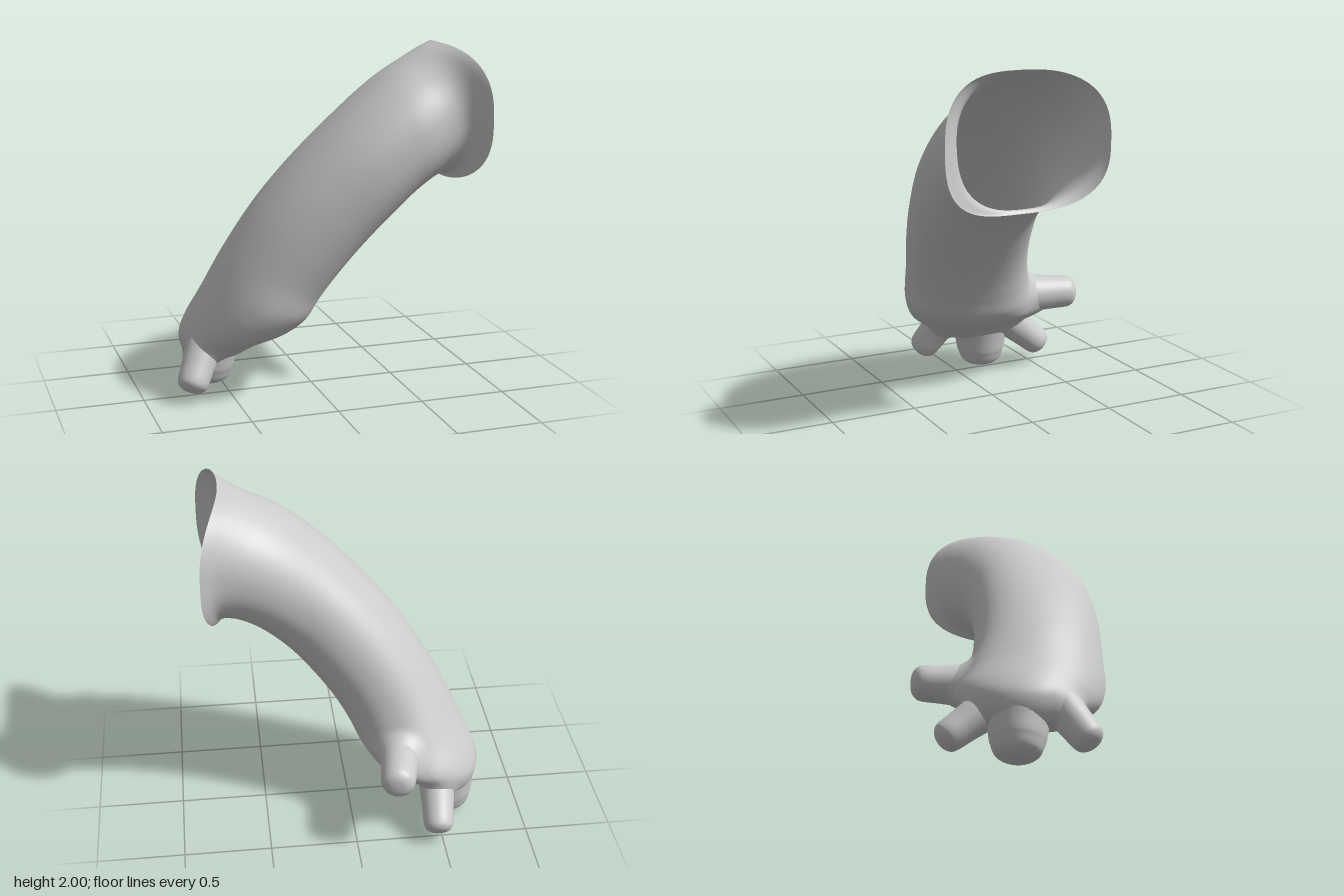
import * as THREE from 'three';

const material = new THREE.MeshStandardMaterial({ color: 0xcccccc, side: THREE.DoubleSide });

// Arm sections from the open cuff to the knuckles:
// [top x, top y, bottom x, bottom y, back z, front z, sideways bulge in x]
const SECTIONS = [
  [0.69, 2.0, 0.70, 1.25, -0.285, 0.67, 0.12],
  [0.57, 1.945, 0.66, 1.265, -0.23, 0.55, 0.08],
  [0.35, 1.82, 0.52, 1.185, -0.21, 0.57, 0.02],
  [0.1, 1.615, 0.35, 1.03, -0.2, 0.56, 0],
  [-0.15, 1.365, 0.2, 0.86, -0.235, 0.515, 0],
  [-0.35, 1.12, 0.08, 0.7, -0.28, 0.465, 0],
  [-0.52, 0.85, 0.0, 0.57, -0.34, 0.415, 0],
  [-0.64, 0.61, -0.06, 0.46, -0.42, 0.385, 0],
  [-0.73, 0.42, -0.14, 0.385, -0.48, 0.31, 0],
  [-0.755, 0.3, -0.29, 0.31, -0.44, 0.18, 0],
  [-0.7, 0.2, -0.4, 0.24, -0.36, 0.06, 0],
  [-0.56, 0.18, -0.56, 0.18, -0.15, -0.15, 0],
];

// Fingers and thumb: root and tip points, radius, height of the fillet
const FINGERS = [
  { name: 'frontFinger', root: [-0.63, 0.33, -0.005], tip: [-0.76, 0.07, 0.135], r: 0.092, fillet: 0.045 },
  { name: 'middleFinger', root: [-0.56, 0.28, -0.195], tip: [-0.58, 0.0, -0.21], r: 0.146, fillet: 0.02 },
  { name: 'backFinger', root: [-0.485, 0.29, -0.35], tip: [-0.465, 0.09, -0.585], r: 0.088, fillet: 0.04 },
  { name: 'thumb', root: [-0.27, 0.51, -0.33], tip: [-0.205, 0.505, -0.67], r: 0.1, fillet: 0.1 },
].map((f) => {
  const root = new THREE.Vector3(...f.root);
  const axis = new THREE.Vector3(...f.tip).sub(root);
  return { ...f, root, length: axis.length(), axis: axis.normalize() };
});

// Draws the skin out along each finger so it flows into the root as a fillet
function pullTowardFingers(point) {
  const shift = new THREE.Vector3();
  for (const { root, axis, r, fillet } of FINGERS) {
    const offset = point.clone().sub(root);
    const along = offset.dot(axis);
    const away = offset.addScaledVector(axis, -along).length();
    const fade = 1 - THREE.MathUtils.clamp((away - 0.8 * r) / (0.9 * r), 0, 1);
    shift.addScaledVector(axis, fillet * fade * fade * THREE.MathUtils.smoothstep(along, -0.12, 0.04));
  }
  return point.add(shift);
}

function armGeometry(rows = 132, cols = 96) {
  const curve = (f) => new THREE.CatmullRomCurve3(SECTIONS.map(f), false, 'catmullrom');
  const tops = curve((s) => new THREE.Vector3(s[0], s[1], 0));
  const bottoms = curve((s) => new THREE.Vector3(s[2], s[3], 0));
  const sides = curve((s) => new THREE.Vector3(s[4], s[5], s[6]));
  const positions = [], index = [];
  for (let i = 0; i <= rows; i++) {
    const t = i / rows;
    const top = tops.getPoint(t), bottom = bottoms.getPoint(t), side = sides.getPoint(t);
    // Squarish cuff, round sleeve, then a peaked back of the hand over a flat palm
    const cuff = 0.55 * Math.max(0, 1 - t * 8);
    const hand = THREE.MathUtils.smoothstep(t, 0.3, 0.75);
    for (let j = 0; j < cols; j++) {
      const a = (j / cols) * Math.PI * 2;
      const cos = Math.cos(a), sin = Math.sin(a);
      const power = 2 / (2.2 + cuff + (cos > 0 ? -0.35 : 0.2) * hand);
      const c = Math.sign(cos) * Math.abs(cos) ** power;
      const s = Math.sign(sin) * Math.abs(sin) ** power;
      const point = bottom.clone().lerp(top, (1 + c) / 2);
      point.x += side.z * s * s;
      point.z = (side.x + side.y) / 2 + ((side.y - side.x) / 2) * s;
      positions.push(...pullTowardFingers(point).toArray());
      if (i < rows) {
        const p = i * cols + j, q = i * cols + ((j + 1) % cols);
        index.push(p, p + cols, q, q, p + cols, q + cols);
      }
    }
  }
  const geometry = new THREE.BufferGeometry();
  geometry.setAttribute('position', new THREE.Float32BufferAttribute(positions, 3));
  geometry.setIndex(index);
  geometry.computeVertexNormals();
  return geometry;
}

// Stubby finger with a slightly flared root and a blunt rounded tip
function finger({ name, root, axis, length, r }) {
  const profile = new THREE.SplineCurve([
    [1.2 * r, 0], [1.1 * r, 0.3 * length], [1.03 * r, 0.55 * length],
    [0.97 * r, length - 0.65 * r], [0.82 * r, length - 0.28 * r],
    [0.48 * r, length - 0.06 * r], [0, length],
  ].map(([x, y]) => new THREE.Vector2(x, y)));
  const mesh = new THREE.Mesh(new THREE.LatheGeometry(profile.getPoints(36), 32), material);
  mesh.position.copy(root);
  mesh.quaternion.setFromUnitVectors(new THREE.Vector3(0, 1, 0), axis);
  mesh.name = name;
  return mesh;
}

export function createModel() {
  const model = new THREE.Group();
  model.name = 'arm';

  // Hollow sleeve-like arm running into the closed palm
  const arm = new THREE.Mesh(armGeometry(), material);
  arm.name = 'forearmAndPalm';
  model.add(arm);

  // Three fingers and a thumb
  model.add(...FINGERS.map(finger));
  return model;
}
